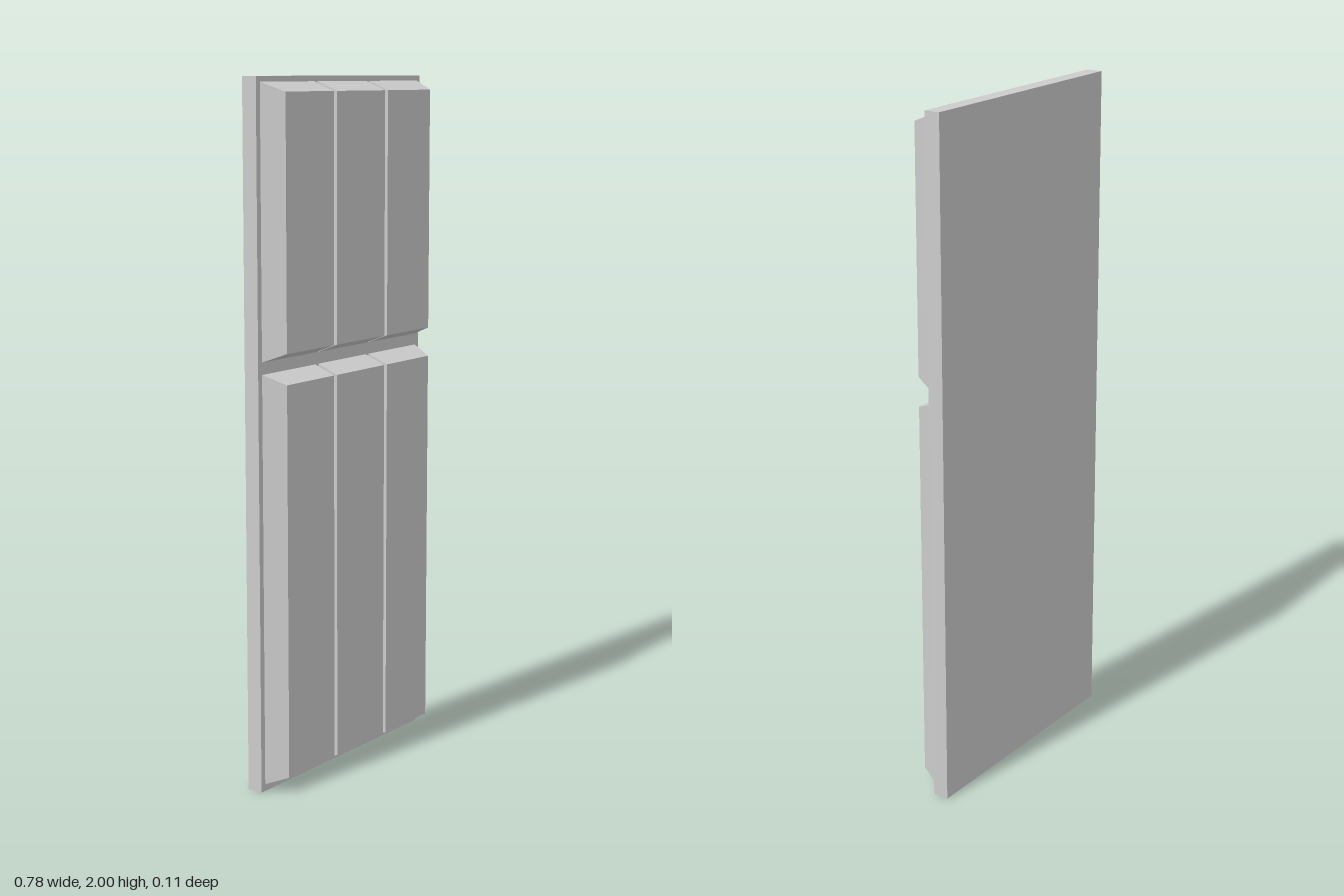
import * as THREE from 'three';

const material = new THREE.MeshStandardMaterial({ color: 0xcccccc, flatShading: true });
const BACK = -0.058, FACE = -0.011, FRONT = 0.055, FLOOR = 0.04;
const BEVEL = 0.026;

// Block whose front face is drawn in by its own amount on each side
function taperedBlock(name, [x0, x1], [y0, y1], [z0, z1], inset = {}) {
  const { left = 0, right = 0, top = 0, bottom = 0 } = inset;
  const geometry = new THREE.BoxGeometry(1, 1, 1);
  const p = geometry.attributes.position;
  for (let i = 0; i < p.count; i++) {
    const front = p.getZ(i) > 0 ? 1 : 0;
    p.setXYZ(i,
      p.getX(i) > 0 ? x1 - left * front : x0 + right * front,
      p.getY(i) > 0 ? y1 - top * front : y0 + bottom * front,
      front ? z1 : z0);
  }
  geometry.computeVertexNormals();
  const mesh = new THREE.Mesh(geometry, material);
  mesh.name = name;
  return mesh;
}

// Raised panel: three planks with bevelled outer edges and shallow grooves between
function raisedPanel(name, y0, y1) {
  const group = new THREE.Group();
  group.name = name;
  const ends = { top: BEVEL, bottom: BEVEL };
  const planks = [
    ['rightPlank', [-0.372, -0.13], { ...ends, right: BEVEL }],
    ['middlePlank', [-0.116, 0.116], ends],
    ['leftPlank', [0.13, 0.372], { ...ends, left: BEVEL }],
  ];
  for (const [plank, x, inset] of planks) {
    group.add(taperedBlock(plank, x, [y0, y1], [FACE, FRONT], inset));
  }
  // Groove floors, set back from the planks on the front and the bevels
  const slope = BEVEL * (FLOOR - FACE) / (FRONT - FACE);
  for (const [groove, x] of [['rightGroove', [-0.13, -0.116]], ['leftGroove', [0.116, 0.13]]]) {
    group.add(taperedBlock(groove, x, [y0 + 0.014, y1 - 0.014], [FACE, FLOOR],
      { top: slope, bottom: slope }));
  }
  return group;
}

export function createModel() {
  const model = new THREE.Group();
  model.name = 'panelledDoor';
  model.add(taperedBlock('backSlab', [-0.389, 0.389], [0, 2], [BACK, FACE]));
  model.add(raisedPanel('lowerPanel', 0.02, 1.196));
  model.add(raisedPanel('upperPanel', 1.23, 1.985));
  return model;
}
